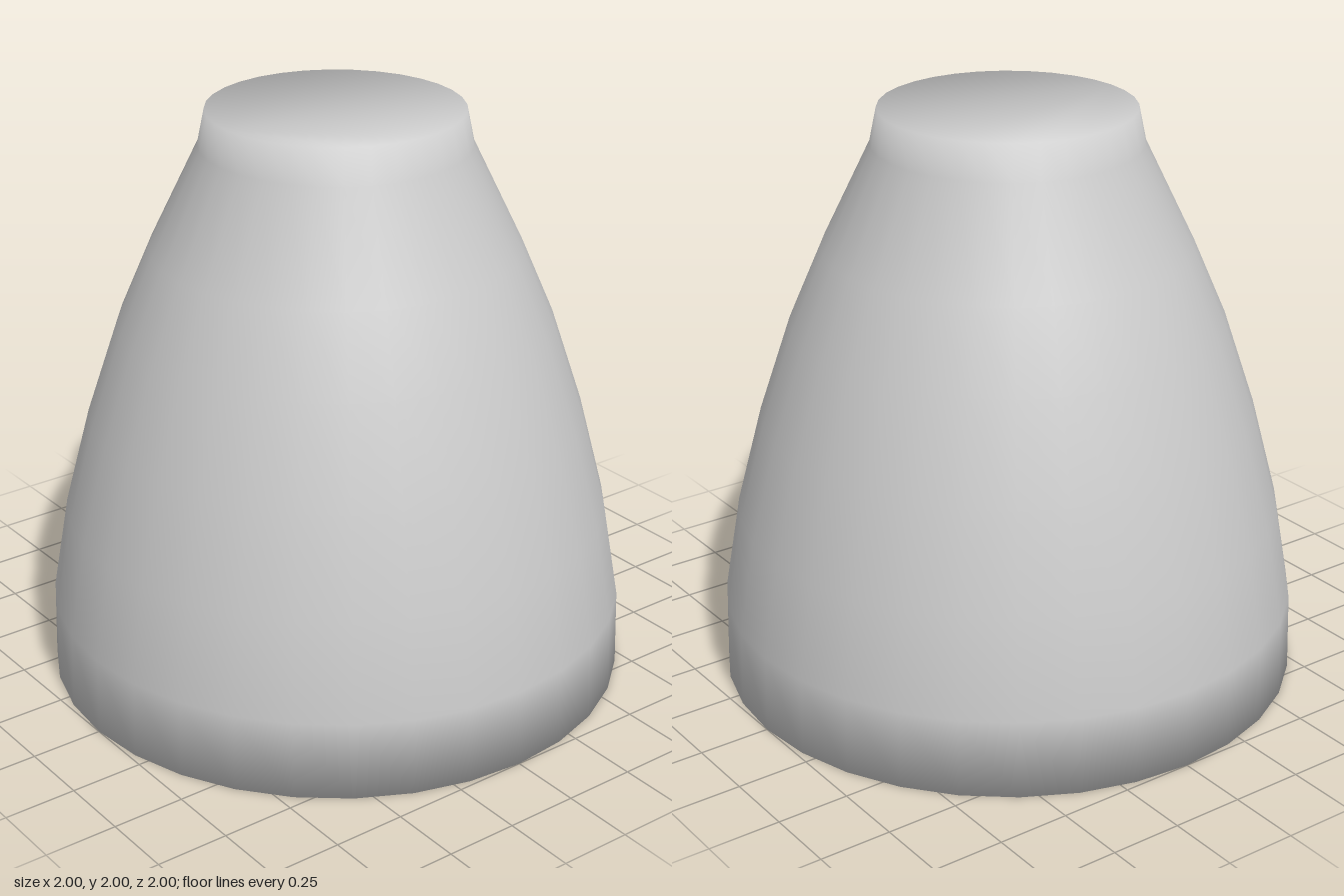
import * as THREE from 'three';

const SEGMENTS = 32;

// Radius and height, from base to neck rim
const PROFILE = [
  [1.0, 0], [0.993, 0.27], [0.936, 0.6], [0.847, 0.94],
  [0.737, 1.27], [0.625, 1.53], [0.455, 1.88], [0.43, 2],
];

// Closes one end with a fan of the rim points and blends the rim normals over the edge
function closeEnd(geometry, ring, up) {
  const normals = geometry.attributes.normal;
  const indices = Array.from(geometry.index.array);
  const at = (i) => i * PROFILE.length + ring;
  const n = new THREE.Vector3();
  for (let i = 0; i <= SEGMENTS; i++) {
    n.fromBufferAttribute(normals, at(i)).normalize();
    n.y += up;
    n.normalize();
    normals.setXYZ(at(i), n.x, n.y, n.z);
  }
  for (let i = 1; i < SEGMENTS - 1; i++) {
    if (up > 0) indices.push(at(0), at(i), at(i + 1));
    else indices.push(at(0), at(i + 1), at(i));
  }
  geometry.setIndex(indices);
}

export function createModel() {
  const group = new THREE.Group();
  group.name = 'taperedVessel';

  // Bulging wall with a short neck, closed at both ends
  const points = PROFILE.map(([r, y]) => new THREE.Vector2(r, y));
  const geometry = new THREE.LatheGeometry(points, SEGMENTS);
  closeEnd(geometry, 0, -1);
  closeEnd(geometry, PROFILE.length - 1, 1);

  const body = new THREE.Mesh(geometry, new THREE.MeshStandardMaterial({ color: 0xcccccc }));
  body.name = 'body';
  group.add(body);
  return group;
}
